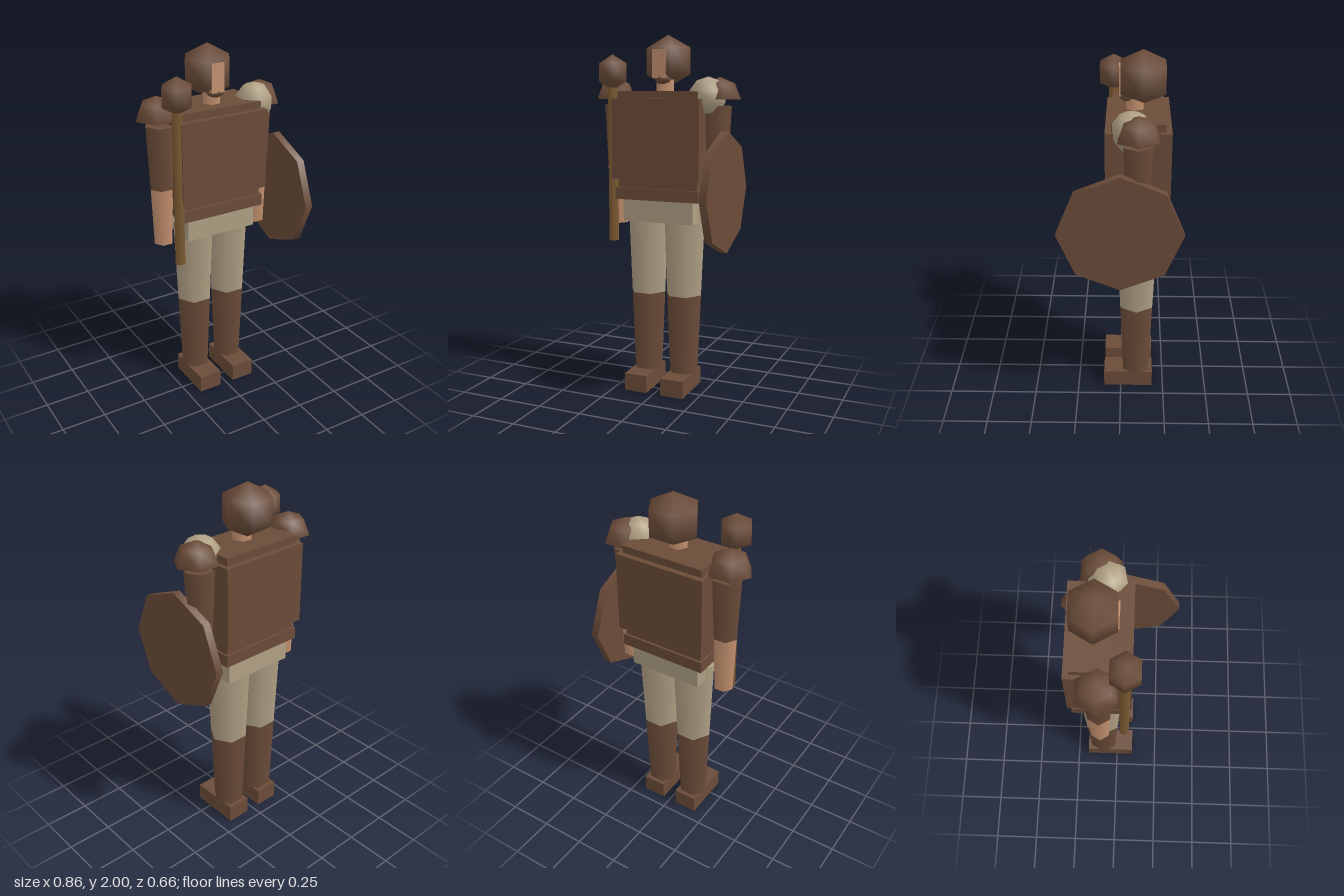
import * as THREE from 'three';

export function createModel() {
  const model = new THREE.Group();
  const mat = (name, color) => {
    const m = new THREE.MeshStandardMaterial({ color });
    m.name = name;
    return m;
  };
  const leather = mat('brown leather', 0x6b4c39);
  const cloth = mat('cream cloth', 0xb0a084);
  const skin = mat('skin', 0xc4916f);
  const wood = mat('staff wood', 0x7d5a32);

  const add = (name, geometry, material, x, y, z) => {
    const mesh = new THREE.Mesh(geometry, material);
    mesh.name = name;
    mesh.position.set(x, y, z);
    model.add(mesh);
    return mesh;
  };
  // Box given by its limits on each axis
  const block = (name, material, x0, x1, y0, y1, z0, z1) =>
    add(name, new THREE.BoxGeometry(x1 - x0, y1 - y0, z1 - z0), material,
      (x0 + x1) / 2, (y0 + y1) / 2, (z0 + z1) / 2);
  // Six-sided tapered limb with corners on the x axis
  const limb = (name, material, x, z, y0, y1, r0, r1) =>
    add(name, new THREE.CylinderGeometry(r1, r0, y1 - y0, 6, 1, false, Math.PI / 6),
      material, x, (y0 + y1) / 2, z);

  // Torso layers, belt and hips
  block('torso', leather, -0.235, 0.235, 1.12, 1.695, -0.225, 0.046);
  block('breastplate', leather, -0.257, 0.257, 1.213, 1.655, -0.256, 0.078);
  block('belt', leather, -0.246, 0.246, 1.10, 1.165, -0.238, 0.06);
  block('hips', cloth, -0.208, 0.208, 0.975, 1.10, -0.21, 0.035);

  // Neck, helmet and face
  limb('neck', skin, 0, -0.07, 1.66, 1.78, 0.052, 0.052);
  const helmet = add('helmet', new THREE.SphereGeometry(0.153, 6, 3), leather, 0, 1.858, -0.112);
  helmet.scale.y = 0.93;
  block('face', skin, -0.042, 0.032, 1.765, 1.918, -0.03, 0.01);
  add('chin', new THREE.SphereGeometry(0.05, 8, 6), leather, 0, 1.765, -0.036).scale.y = 0.7;

  // Paired limbs
  for (const s of [-1, 1]) {
    const side = s > 0 ? 'left' : 'right';
    limb(side + 'Trouser', cloth, s * 0.11, -0.088, 0.555, 1.05, 0.104, 0.125);
    limb(side + 'Boot', leather, s * 0.11, -0.088, 0.09, 0.555, 0.085, 0.104);
    block(side + 'Foot', leather, s * 0.111 - 0.067, s * 0.111 + 0.067, 0, 0.1, -0.185, 0.098);
    limb(side + 'Sleeve', leather, s * 0.297, -0.088, 1.268, 1.617, 0.067, 0.084);
    limb(side + 'Forearm', skin, s * 0.297, -0.088, 0.945, 1.268, 0.055, 0.067);

    // Domed shoulder pad with closed underside
    const dome = new THREE.SphereGeometry(0.119, 6, 2, 0, Math.PI * 2, 0, Math.PI / 2);
    add(side + 'ShoulderPad', dome, leather, s * 0.312, 1.652, -0.09);
    const base = new THREE.CircleGeometry(0.118, 6).rotateX(Math.PI / 2);
    add(side + 'ShoulderPadBase', base, leather, s * 0.312, 1.652, -0.09);
  }

  // Cloth bundle over the left shoulder
  add('shoulderCloth', new THREE.SphereGeometry(0.105, 7, 5).rotateY(0.4), cloth, 0.258, 1.668, -0.055);

  // Mace on the right side
  limb('maceHandle', wood, -0.265, 0.043, 0.862, 1.74, 0.03, 0.03);
  add('maceHead', new THREE.SphereGeometry(0.098, 6, 3), leather, -0.265, 1.796, 0.043);

  // Octagonal shield on the left side
  add('shield', new THREE.CylinderGeometry(0.328, 0.328, 0.042, 8).rotateZ(Math.PI / 2),
    leather, 0.373, 1.158, 0);

  return model;
}
